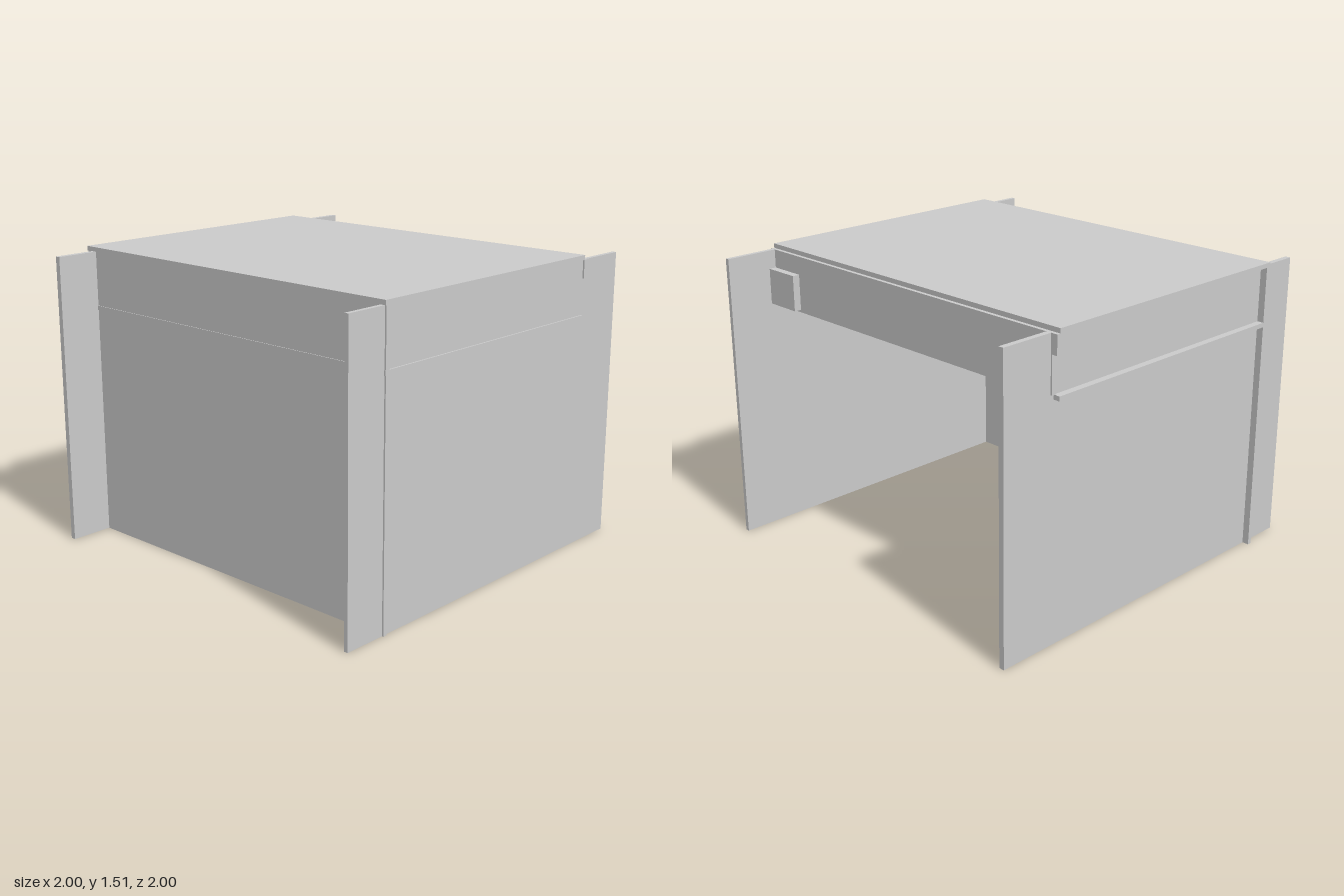
import * as THREE from 'three';

const grey = new THREE.MeshStandardMaterial({ color: 0xcccccc });
const pale = new THREE.MeshStandardMaterial({ color: 0xdadada });

// Box given by its limits along each axis
function board(name, [x0, x1], [y0, y1], [z0, z1], material = grey) {
  const mesh = new THREE.Mesh(new THREE.BoxGeometry(x1 - x0, y1 - y0, z1 - z0), material);
  mesh.position.set((x0 + x1) / 2, (y0 + y1) / 2, (z0 + z1) / 2);
  mesh.name = name;
  return mesh;
}

export function createModel() {
  const group = new THREE.Group();
  group.name = 'desk';
  const height = 1.487;
  const length = [-1, 1];

  group.add(
    // Horizontal boards
    board('top', [-0.78, 0.703], [height, 1.51], length),
    board('shelf', [-0.78, 0.703], [1.187, 1.21], length),
    // Wide end panels
    board('frontPanel', [-1, 1], [0, height], [0.97, 0.992]),
    board('backPanel', [-1, 1], [0, height], [-0.965, -0.937]),
    // Long wall, split by the shelf
    board('lowerWall', [-0.776, -0.753], [0, 1.187], length),
    board('upperWall', [-0.776, -0.753], [1.21, height], length),
    // Small block on the apron
    board('latchBlock', [0.722, 0.76], [1.21, 1.393], [0.773, 0.97], pale)
  );

  // Apron under the top edge, with its lower corners notched at both ends
  const outline = new THREE.Shape([
    [-0.972, 1.21], [0.972, 1.21], [0.972, 1.393], [1, 1.393],
    [1, height], [-1, height], [-1, 1.393], [-0.972, 1.393],
  ].map(([z, y]) => new THREE.Vector2(z, y)));
  const geometry = new THREE.ExtrudeGeometry(outline, { depth: 0.022, bevelEnabled: false });
  geometry.rotateY(Math.PI / 2);
  const apron = new THREE.Mesh(geometry, grey);
  apron.position.x = 0.7;
  apron.name = 'apron';
  group.add(apron);

  return group;
}
